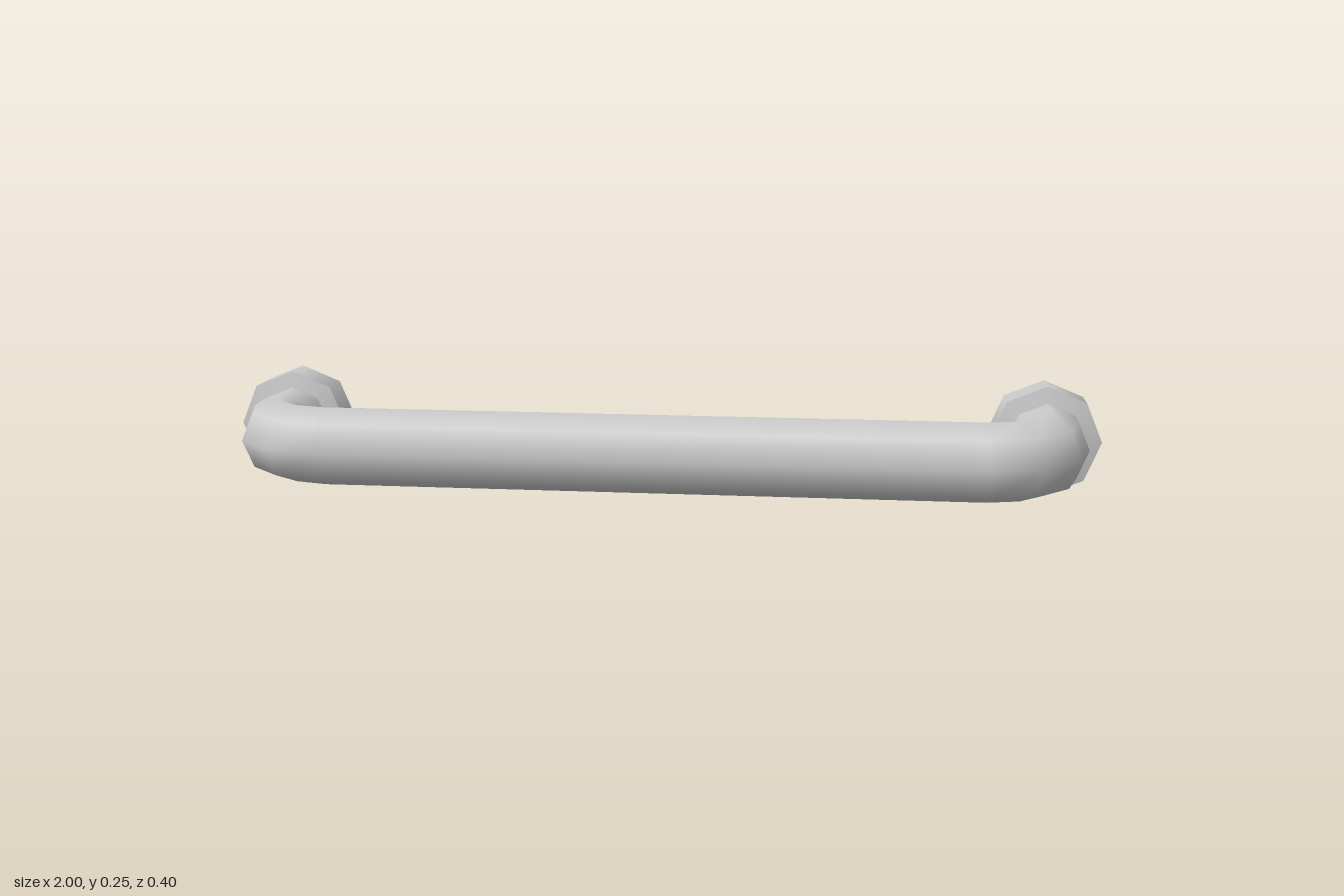
import * as THREE from 'three';

const SIDES = 8;
const TUBE_R = 0.088, FLANGE_R = 0.126;
const LEG_X = 0.874, BEND_R = 0.144, BEND_X = LEG_X - BEND_R, BEND_Z = -0.031;
const AXIS_Y = 0.126, BACK_Z = -0.2, RIM_Z = -0.118, NECK_Z = -0.11;

// Hollow octagonal tube: leg, three-step bend, straight bar, bend, leg
function tubeGeometry() {
  const rings = [{ x: LEG_X, z: NECK_Z, t: 0 }];
  for (const side of [1, -1]) {
    for (let i = 0; i <= 3; i++) {
      const t = (i * Math.PI) / 6 + (side < 0 ? Math.PI / 2 : 0);
      rings.push({ x: side * BEND_X + BEND_R * Math.cos(t), z: BEND_Z + BEND_R * Math.sin(t), t });
    }
  }
  rings.push({ x: -LEG_X, z: NECK_Z, t: Math.PI });

  const positions = [], normals = [], index = [];
  rings.forEach(({ x, z, t }, i) => {
    for (let j = 0; j < SIDES; j++) {
      const a = (j / SIDES) * Math.PI * 2;
      const n = [Math.cos(a) * Math.cos(t), Math.sin(a), Math.cos(a) * Math.sin(t)];
      normals.push(...n);
      positions.push(x + n[0] * TUBE_R, AXIS_Y + n[1] * TUBE_R, z + n[2] * TUBE_R);
      if (i < rings.length - 1) {
        const k = (j + 1) % SIDES, p = i * SIDES, q = p + SIDES;
        index.push(p + j, p + k, q + j, p + k, q + k, q + j);
      }
    }
  });
  const geo = new THREE.BufferGeometry();
  geo.setAttribute('position', new THREE.Float32BufferAttribute(positions, 3));
  geo.setAttribute('normal', new THREE.Float32BufferAttribute(normals, 3));
  geo.setIndex(index);
  return geo;
}

// Open octagonal sleeve along z, from the back radius to the front radius
function sleeve(name, frontR, backR, z0, z1, material) {
  const geo = new THREE.CylinderGeometry(frontR, backR, z1 - z0, SIDES, 1, true);
  geo.rotateX(Math.PI / 2);
  const mesh = new THREE.Mesh(geo, material);
  mesh.name = name;
  mesh.position.z = (z0 + z1) / 2;
  return mesh;
}

export function createModel() {
  const material = new THREE.MeshStandardMaterial({ color: 0xcccccc, side: THREE.DoubleSide });
  const model = new THREE.Group();
  model.name = 'grabHandle';

  const bar = new THREE.Mesh(tubeGeometry(), material);
  bar.name = 'bar';
  model.add(bar);

  // Hollow wall flanges, open at the back
  for (const [name, side] of [['leftFlange', 1], ['rightFlange', -1]]) {
    const flange = new THREE.Group();
    flange.name = name;
    flange.position.set(side * LEG_X, AXIS_Y, 0);
    flange.add(
      sleeve('flangeWall', FLANGE_R, FLANGE_R, BACK_Z, RIM_Z, material),
      sleeve('flangeShoulder', TUBE_R, FLANGE_R, RIM_Z, NECK_Z, material)
    );
    model.add(flange);
  }
  return model;
}
